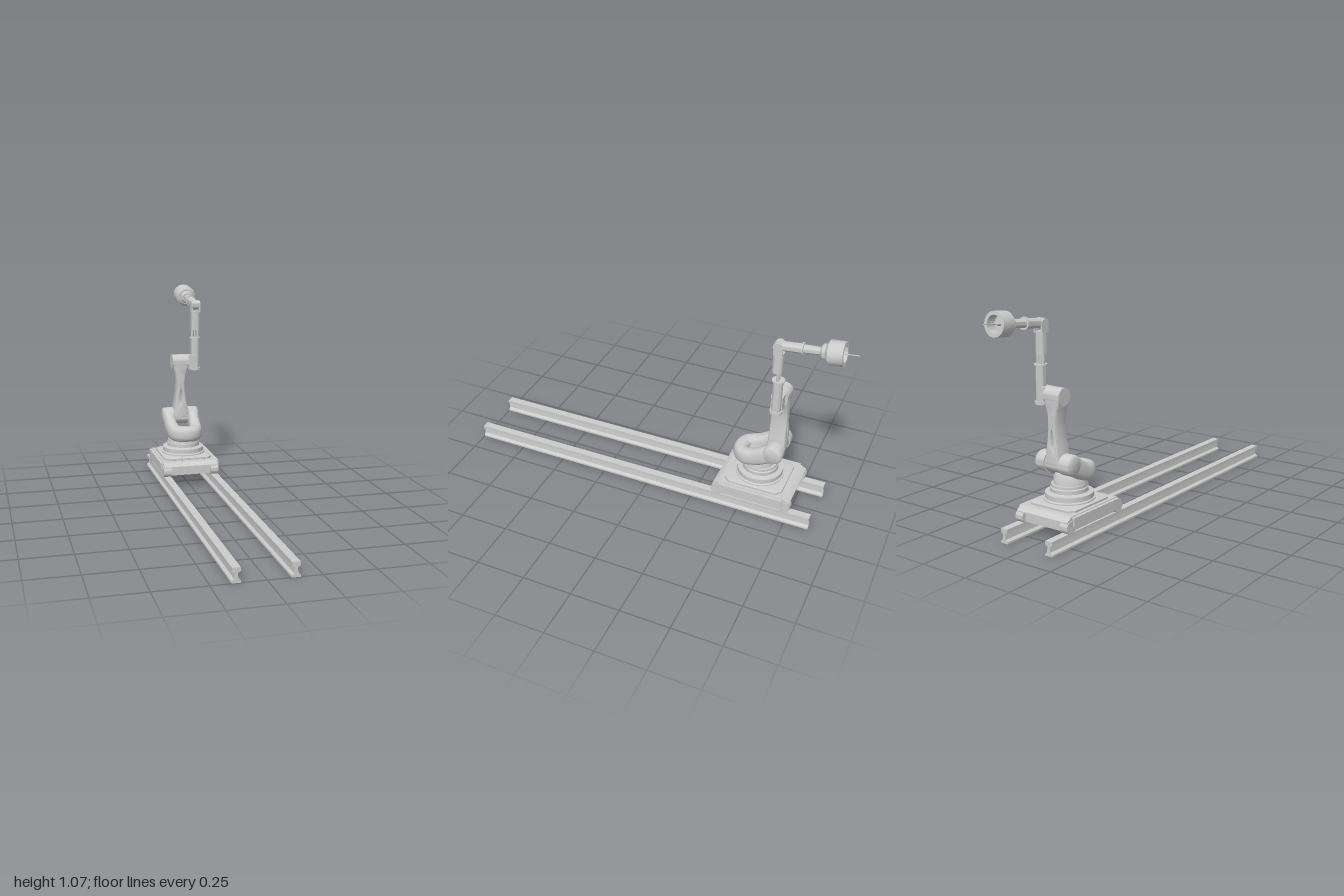
import * as THREE from 'three';
import { toCreasedNormals } from 'three/addons/utils/BufferGeometryUtils.js';

const grey = new THREE.MeshStandardMaterial({ color: 0xcccccc, side: THREE.DoubleSide });
const CX = -0.004, CZ = -0.565;       // turntable axis
const PZ = -0.645;                    // arm plane
const FX = 0.086;                     // forearm axis

function add(parent, name, geo, x = 0, y = 0, z = 0, crease = 0.6) {
  const mesh = new THREE.Mesh(crease ? toCreasedNormals(geo, crease) : geo, grey);
  mesh.name = name;
  mesh.position.set(x, y, z);
  parent.add(mesh);
  return mesh;
}
const box = (p, n, w, h, d, x, y, z) => add(p, n, new THREE.BoxGeometry(w, h, d), x, y, z);
const post = (p, n, r, y0, y1, x, z, rTop = r) =>
  add(p, n, new THREE.CylinderGeometry(rTop, r, y1 - y0, 32), x, (y0 + y1) / 2, z);
const axle = (p, n, r, x0, x1, y, z) =>
  add(p, n, new THREE.CylinderGeometry(r, r, x1 - x0, 32).rotateZ(Math.PI / 2), (x0 + x1) / 2, y, z);
const lathe = (p, n, pts, x, y, z, sides = 40) =>
  add(p, n, new THREE.LatheGeometry(pts.map(q => new THREE.Vector2(...q)), sides), x, y, z);
const shapeOf = pts => new THREE.Shape(pts.map(q => new THREE.Vector2(...q)));

// Closed strip surface through equal-length rings of points
function loft(rings) {
  const n = rings[0].length, pos = rings.flat().flatMap(v => [v.x, v.y, v.z]), idx = [];
  for (let i = 0; i < rings.length - 1; i++)
    for (let j = 0; j < n; j++) {
      const a = i * n + j, b = i * n + (j + 1) % n;
      idx.push(a, a + n, b, b, a + n, b + n);
    }
  const g = new THREE.BufferGeometry();
  g.setAttribute('position', new THREE.Float32BufferAttribute(pos, 3));
  g.setIndex(idx);
  return g;
}

// Two rails with a foot, a web and a head
function rails() {
  const g = new THREE.Group();
  g.name = 'rails';
  const half = [[0.021, 0], [0.021, 0.009], [0.009, 0.019], [0.007, 0.045], [0.019, 0.052], [0.019, 0.07]];
  const shape = shapeOf([...half, ...half.map(([x, y]) => [-x, y]).reverse()]);
  for (const x of [-0.136, 0.128])
    add(g, 'rail', new THREE.ExtrudeGeometry(shape, { depth: 1.875, bevelEnabled: false }), x, 0, -0.875);
  return g;
}

// Carriage riding on the rails
function carriage() {
  const g = new THREE.Group();
  g.name = 'carriage';
  g.position.set(CX, 0, CZ);
  box(g, 'deck', 0.295, 0.02, 0.345, 0, 0.134, 0);
  // chamfered upper plate
  const s = 0.122, h = 0.137, c = 0.02;
  const plate = shapeOf([[-s, -h + c], [-s + c, -h], [s - c, -h], [s, -h + c], [s, h - c], [s - c, h], [-s + c, h], [-s, h - c]]);
  add(g, 'upperPlate', new THREE.ExtrudeGeometry(plate, { depth: 0.01, bevelThickness: 0.004, bevelSize: 0.012, bevelSegments: 1 })
    .rotateX(-Math.PI / 2), 0, 0.146, 0);
  for (const side of [-1, 1]) {
    box(g, 'sideFlange', 0.008, 0.04, 0.335, side * 0.16, 0.12, 0);
    box(g, 'sideFlangeTop', 0.025, 0.007, 0.335, side * 0.15, 0.137, 0);
    box(g, 'sideBeam', 0.042, 0.045, 0.35, side * 0.132, 0.1, 0);
    for (const end of [-1, 1])
      axle(g, 'wheelHousing', 0.031, side * 0.132 - 0.022, side * 0.132 + 0.022, 0.096, end * 0.177);
  }
  for (const end of [-1, 1]) {
    box(g, 'endBeam', 0.222, 0.05, 0.035, 0, 0.098, end * 0.17);
    const hood = shapeOf([[0.165, 0.144], [0.172, 0.144], [0.202, 0.125], [0.202, 0.119], [0.165, 0.119]]);
    const geo = new THREE.ExtrudeGeometry(hood, { depth: 0.3, bevelEnabled: false }).translate(0, 0, -0.15).rotateY(-end * Math.PI / 2);
    add(g, 'endHood', geo);
  }
  for (const z of [-0.06, 0.06]) box(g, 'crossBeam', 0.222, 0.04, 0.05, 0, 0.105, z);
  return g;
}

// Rotating base and U-shaped shoulder
function shoulder() {
  const g = new THREE.Group();
  g.name = 'shoulder';
  lathe(g, 'turntable', [[0, 0.155], [0.122, 0.155], [0.122, 0.166], [0.115, 0.17], [0.115, 0.194], [0.093, 0.197],
    [0.09, 0.2], [0.09, 0.218], [0.085, 0.222], [0.085, 0.234], [0, 0.234]], CX, 0, CZ);
  lathe(g, 'neck', [[0.085, 0.22], [0.08, 0.24], [0.08, 0.265], [0.07, 0.285], [0.045, 0.298], [0, 0.302]], CX, 0, CZ + 0.01);

  // horseshoe rising from the front to both pivots
  const half = [[0.07, 0.35, PZ], [0.07, 0.325, -0.6], [0.066, 0.298, -0.55], [0.058, 0.284, -0.5], [0.034, 0.282, -0.469]];
  const path = new THREE.CatmullRomCurve3([...half, [0, 0.282, -0.462], ...half.map(([x, y, z]) => [-x, y, z]).reverse()]
    .map(q => new THREE.Vector3(...q)));
  const rings = [], N = 48, up = new THREE.Vector3(0, 1, 0);
  for (let i = 0; i <= N; i++) {
    const p = path.getPointAt(i / N), t = path.getTangentAt(i / N);
    const across = new THREE.Vector3(t.x, 0, t.z).normalize().cross(up);
    const v = new THREE.Vector3().crossVectors(across, t).normalize();
    const k = Math.abs(2 * i / N - 1), w = 0.038 - 0.009 * k, h = 0.042 + 0.006 * k * k;
    rings.push(Array.from({ length: 28 }, (_, j) => {
      const a = j / 28 * Math.PI * 2, c = Math.cos(a), s = Math.sin(a);
      return p.clone().addScaledVector(across, w * Math.sign(c) * Math.abs(c) ** 0.75)
        .addScaledVector(v, h * Math.sign(s) * Math.abs(s) ** 0.75);
    }));
  }
  add(g, 'shoulderFork', loft(rings), CX, 0, 0, 1.2);
  // rounded pivot bosses
  for (const side of [-1, 1]) {
    const boss = lathe(g, 'pivotBoss', [[0, 0], [0.05, 0], [0.05, 0.046], [0.046, 0.054], [0.04, 0.058], [0, 0.058]], CX + side * 0.043, 0.35, PZ);
    boss.rotation.z = -side * Math.PI / 2;
  }
  return g;
}

// Waisted lower arm with a slot
function lowerArm() {
  const g = new THREE.Group();
  g.name = 'lowerArm';
  const b = 0.008;
  const edge = new THREE.SplineCurve([[0.041, 0.35], [0.036, 0.4], [0.028, 0.45], [0.023, 0.5], [0.023, 0.55], [0.03, 0.595], [0.042, 0.635], [0.045, 0.665]]
    .map(([x, y]) => new THREE.Vector2(x - b, y))).getPoints(28);
  const shape = new THREE.Shape([...edge, ...edge.map(p => new THREE.Vector2(-p.x, p.y)).reverse()]);
  const slot = new THREE.Path();
  slot.absellipse(0, 0.468, 0.011 + b * 0.3, 0.046 + b * 0.3, 0, Math.PI * 2, true);
  shape.holes.push(slot);
  const geo = new THREE.ExtrudeGeometry(shape, { depth: 0.066, bevelThickness: b, bevelSize: b, bevelSegments: 4, curveSegments: 28 }).translate(0, 0, -0.033);
  // depth tapers upward
  const pos = geo.attributes.position;
  for (let i = 0; i < pos.count; i++)
    pos.setZ(i, pos.getZ(i) * (1.1 - 0.55 * Math.max(0, Math.min(0.6, pos.getY(i)) - 0.35)));
  add(g, 'armBeam', geo, CX, 0, PZ, 0.8);
  axle(g, 'armFoot', 0.045, CX - 0.041, CX + 0.041, 0.35, PZ);
  axle(g, 'armHead', 0.042, CX - 0.046, CX + 0.046, 0.663, PZ);
  box(g, 'elbowBracket', 0.045, 0.076, 0.056, 0.063, 0.662, PZ);
  return g;
}

// Telescoping forearm
function forearm() {
  const g = new THREE.Group();
  g.name = 'forearm';
  post(g, 'bottomFlange', 0.031, 0.614, 0.628, FX, PZ);
  post(g, 'lowerTube', 0.024, 0.626, 0.796, FX, PZ);
  post(g, 'topFlange', 0.031, 0.794, 0.801, FX, PZ);
  for (const dx of [-0.016, 0.016]) post(g, 'guideRod', 0.007, 0.798, 0.85, FX + dx, PZ);
  post(g, 'centreRod', 0.006, 0.798, 0.85, FX, PZ);
  post(g, 'upperTube', 0.026, 0.844, 0.95, FX, PZ + 0.008);
  // fork cheeks holding the wrist
  for (const side of [-1, 1]) {
    box(g, 'forkCheek', 0.009, 0.045, 0.042, FX + side * 0.021, 0.965, PZ + 0.008);
    const x = FX + side * 0.021;
    axle(g, 'forkEnd', 0.023, x - 0.0045, x + 0.0045, 0.985, PZ + 0.01);
  }
  return g;
}

// Wrist and hollow tool drum, modelled along local +y
function wrist() {
  const g = new THREE.Group();
  g.name = 'wrist';
  g.position.set(FX, 0.985, PZ + 0.01);
  g.rotation.x = -THREE.MathUtils.degToRad(84);
  axle(g, 'wristJoint', 0.025, -0.016, 0.016, 0, 0);
  post(g, 'wristTube', 0.023, 0.012, 0.113, 0, 0);
  post(g, 'wristFlange', 0.03, 0.11, 0.117, 0, 0);
  post(g, 'wristNeck', 0.021, 0.117, 0.2, 0, 0, 0.018);
  lathe(g, 'toolMount', [[0, 0.196], [0.026, 0.196], [0.036, 0.205], [0.036, 0.218], [0.03, 0.222], [0.03, 0.232]], 0, 0, 0, 24);
  lathe(g, 'toolDrum', [[0, 0.222], [0.044, 0.222], [0.058, 0.234], [0.058, 0.304], [0.041, 0.304], [0.041, 0.258], [0, 0.258]], 0, 0, 0, 14);
  post(g, 'spindle', 0.008, 0.256, 0.29, 0, 0);
  post(g, 'needle', 0.0025, 0.285, 0.367, 0, 0);
  return g;
}

export function createModel() {
  const model = new THREE.Group();
  model.name = 'railMountedRobotArm';
  model.add(rails(), carriage(), shoulder(), lowerArm(), forearm(), wrist());
  return model;
}
